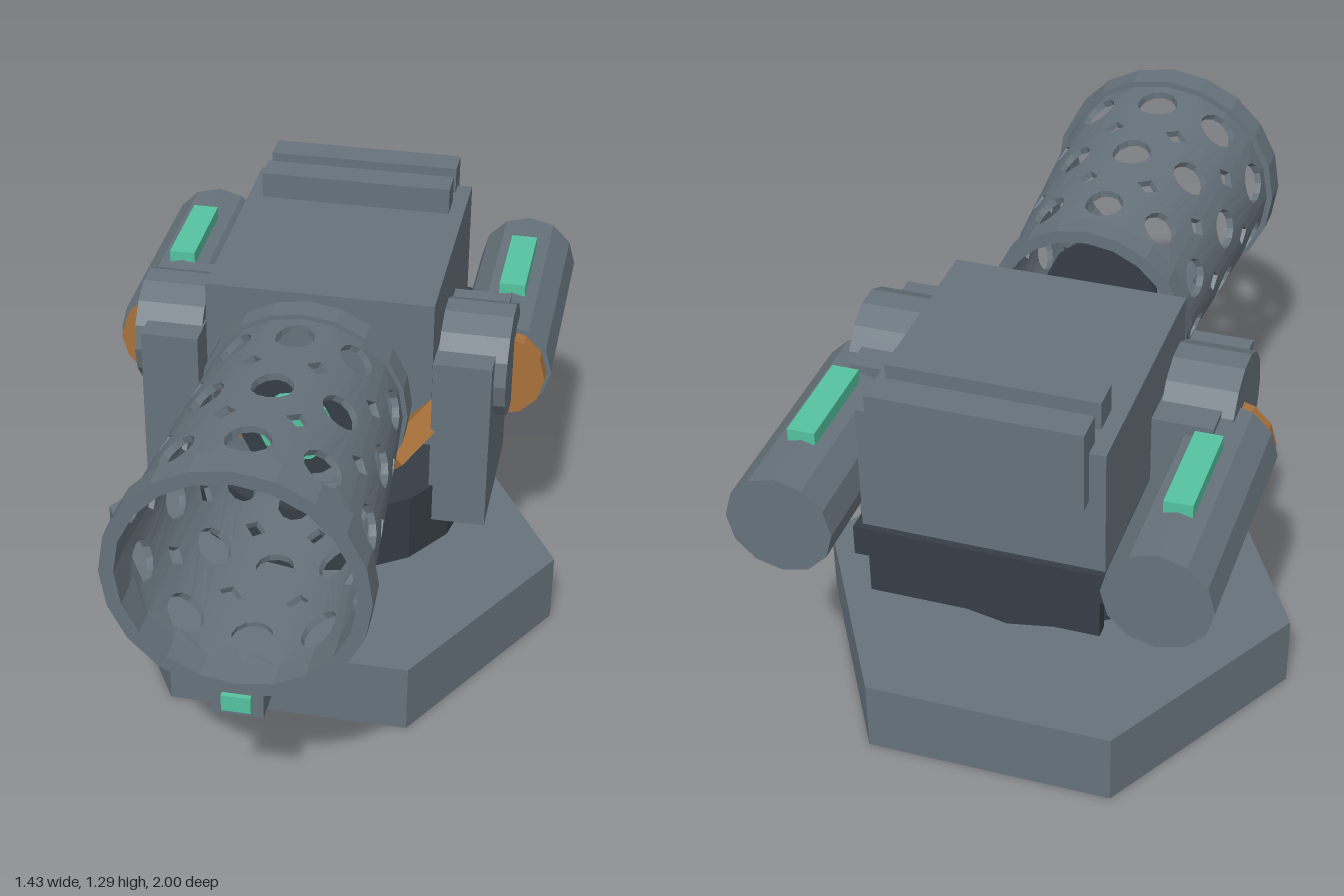
import * as THREE from 'three';
import { mergeGeometries } from 'three/addons/utils/BufferGeometryUtils.js';

const mat = (color) => new THREE.MeshStandardMaterial({ color, flatShading: true });
const STEEL = mat(0x66727b);
const DARK = mat(0x353d45);
const COPPER = mat(0xa8713a);
const GLOW = mat(0x55c3a0);

const AXIS_Y = 0.935; // height of the barrel axis

export function createModel() {
  const model = new THREE.Group();

  const add = (name, geometry, material, x = 0, y = 0, z = 0) => {
    const mesh = new THREE.Mesh(geometry, material);
    mesh.name = name;
    mesh.position.set(x, y, z);
    model.add(mesh);
    return mesh;
  };

  // Box given by its limits on each axis
  const box = (name, material, [x0, x1], [y0, y1], [z0, z1]) =>
    add(name, new THREE.BoxGeometry(x1 - x0, y1 - y0, z1 - z0), material,
      (x0 + x1) / 2, (y0 + y1) / 2, (z0 + z1) / 2);

  // Solid cylinder lying along z
  const rod = (name, material, r, z0, z1, x, y, sides) =>
    add(name, new THREE.CylinderGeometry(r, r, z1 - z0, sides).rotateX(Math.PI / 2),
      material, x, y, (z0 + z1) / 2);

  // Square-section ring around the barrel axis
  const ring = (name, inner, outer, z0, z1) => {
    const d = z1 - z0;
    const profile = [[inner, 0], [outer, 0], [outer, d], [inner, d], [inner, 0]]
      .map(([r, h]) => new THREE.Vector2(r, h));
    return add(name, new THREE.LatheGeometry(profile, 20).rotateX(Math.PI / 2), STEEL, 0, AXIS_Y, z0);
  };

  // Base and turntable
  add('hexagonalBase', new THREE.CylinderGeometry(0.717, 0.717, 0.22, 6).rotateY(Math.PI / 6),
    STEEL, 0, 0.11, -0.255);
  add('turntable', new THREE.CylinderGeometry(0.43, 0.43, 0.215, 16), DARK, 0, 0.4975, -0.255);

  // Body with its rear fins and underside ribs
  box('body', STEEL, [-0.335, 0.335], [0.7, 1.17], [-0.86, -0.1]);
  box('bodySkirt', DARK, [-0.355, 0.355], [0.71, 0.8], [-0.88, -0.5]);
  box('topFin', STEEL, [-0.29, 0.29], [1.1, 1.25], [-0.755, -0.665]);
  box('rearFin', STEEL, [-0.29, 0.29], [1.02, 1.25], [-0.9, -0.81]);
  for (let i = 0; i < 4; i++) {
    const z = -0.518 - i * 0.109;
    box('undersideRib', DARK, [-0.322, 0.322], [0.58, 0.72], [z - 0.019, z + 0.019]);
  }

  // Perforated barrel and its end rings
  add('perforatedBarrel', barrelGeometry(), STEEL, 0, AXIS_Y, 0);
  ring('muzzleRing', 0.315, 0.355, 0.9, 0.985);
  ring('rearRing', 0.262, 0.3, 0.05, 0.125);

  // Emitter inside the barrel
  rod('emitterPlate', DARK, 0.17, 0.2, 0.222, 0, AXIS_Y, 14);
  rod('emitterLens', GLOW, 0.107, 0.222, 0.242, 0, AXIS_Y, 14);

  // Sensor under the muzzle
  box('sensorHousing', STEEL, [-0.07, 0.07], [0.51, 0.615], [0.72, 0.98]);
  box('sensorLens', GLOW, [-0.04, 0.04], [0.537, 0.587], [0.97, 1]);

  for (const s of [-1, 1]) {
    // Side arm and hub
    box('sideArm', STEEL, [s * 0.43 - 0.085, s * 0.43 + 0.085], [0.482, 1.022], [-0.475, -0.03]);
    add('armHub', new THREE.CylinderGeometry(0.167, 0.167, 0.2, 14).rotateZ(Math.PI / 2),
      STEEL, s * 0.45, AXIS_Y, -0.247);

    // Side canister with its cap and light strip
    rod('canister', STEEL, 0.149, -1, -0.32, s * 0.511, 0.858, 12);
    rod('canisterCap', COPPER, 0.135, -0.325, -0.272, s * 0.511, 0.858, 12);
    box('lightStrip', GLOW, [s * 0.512 - 0.039, s * 0.512 + 0.039], [0.98, 1.035], [-0.82, -0.51]);

    // Strut between the body and the barrel
    const strut = add('barrelStrut', new THREE.BoxGeometry(0.075, 0.075, 0.26), COPPER,
      s * 0.296, 0.787, -0.025);
    strut.lookAt(s * 0.246, 0.765, 0.075);
    strut.rotateZ(Math.PI / 4);
  }
  return model;
}

// Tapered tube made of twenty mirrored strips; round holes sit on one edge
// of each strip and diamond holes on the other.
function barrelGeometry() {
  const columns = 10, width = Math.PI / columns, z0 = 0.11, z1 = 0.91, wall = 0.02;
  const outline = [[0, z0], [width, z0]];
  for (const z of [0.37, 0.655]) {
    outline.push([width, z - 0.034], [width - 0.11, z], [width, z + 0.034]);
  }
  outline.push([width, z1], [0, z1]);
  for (const z of [0.8, 0.515, 0.23]) {
    for (let i = 0; i <= 6; i++) {
      const a = Math.PI / 2 - (i * Math.PI) / 6;
      outline.push([i % 6 ? 0.185 * Math.cos(a) : 0, z + 0.066 * Math.sin(a)]);
    }
  }

  const strips = [];
  for (let k = 0; k < columns; k++) {
    for (const s of [-1, 1]) {
      const shape = new THREE.Shape(outline.map(([x, y]) => new THREE.Vector2(s * x, y)));
      const strip = new THREE.ExtrudeGeometry(shape, { depth: wall, bevelEnabled: false });
      const p = strip.attributes.position;
      // Wrap the flat strip around the axis and taper it
      for (let i = 0; i < p.count; i++) {
        const angle = Math.PI / 2 + k * 2 * width + p.getX(i);
        const z = p.getY(i);
        const r = THREE.MathUtils.mapLinear(z, z0, z1, 0.285, 0.337) - wall + p.getZ(i);
        p.setXYZ(i, r * Math.cos(angle), r * Math.sin(angle), z);
      }
      strip.computeVertexNormals();
      strips.push(strip);
    }
  }
  return mergeGeometries(strips);
}
